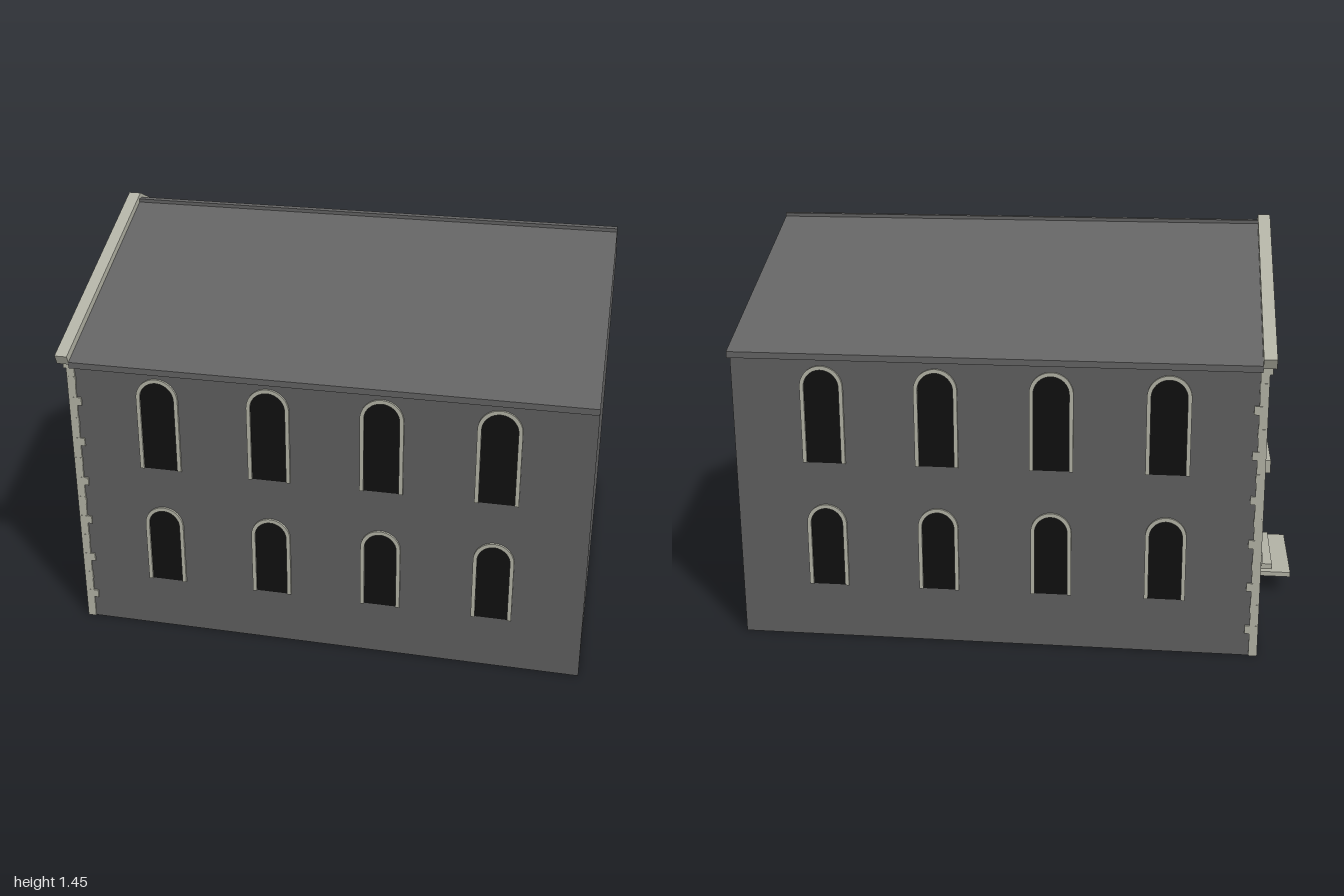
import * as THREE from 'three';

const mat = (name, color) => Object.assign(new THREE.MeshStandardMaterial({ color }), { name });

export function createModel() {
  const model = new THREE.Group();
  model.name = 'townHall';
  const brick = mat('brick', 0x5f5f5f);
  const roofing = mat('roofing', 0x636363);
  const stone = mat('stone', 0xb2b2a5);
  const glass = mat('glass', 0x101010);

  const add = (parent, name, geometry, material) => {
    const mesh = new THREE.Mesh(geometry, material);
    mesh.name = name;
    parent.add(mesh);
    return mesh;
  };

  // box given by its limits on each axis
  const box = (name, material, [x0, x1], [y0, y1], [z0, z1]) => {
    const mesh = add(model, name, new THREE.BoxGeometry(x1 - x0, y1 - y0, z1 - z0), material);
    mesh.position.set((x0 + x1) / 2, (y0 + y1) / 2, (z0 + z1) / 2);
    return mesh;
  };

  const polygon = (points, Type = THREE.Shape) => new Type(points.map(p => new THREE.Vector2(...p)));

  // cross-section in z and y, run along x from x0 to x1
  const section = (name, material, shape, x0, x1) => {
    const geometry = new THREE.ExtrudeGeometry(shape, { depth: x1 - x0, bevelEnabled: false });
    geometry.rotateY(-Math.PI / 2);
    geometry.translate(x1, 0, 0);
    return add(model, name, geometry, material);
  };

  // round-headed outline standing on y = 0
  const archShape = (w, h) => {
    const r = w / 2, s = new THREE.Shape();
    s.moveTo(-r, 0);
    s.lineTo(r, 0);
    s.lineTo(r, h - r);
    s.absarc(0, h - r, r, 0, Math.PI, false);
    s.lineTo(-r, 0);
    return s;
  };

  // arched window facing +z, with a surround open at the foot
  const archWindow = (w, h, t = 0.014) => {
    const group = new THREE.Group();
    group.name = 'archedWindow';
    const r = w / 2, ri = r - t;
    const s = new THREE.Shape();
    s.moveTo(r, 0);
    s.lineTo(r, h - r);
    s.absarc(0, h - r, r, 0, Math.PI, false);
    s.lineTo(-r, 0);
    s.lineTo(-ri, 0);
    s.lineTo(-ri, h - r);
    s.absarc(0, h - r, ri, Math.PI, 0, true);
    s.lineTo(ri, 0);
    add(group, 'windowSurround',
      new THREE.ExtrudeGeometry(s, { depth: 0.008, bevelEnabled: false, curveSegments: 12 }), stone);
    const pane = add(group, 'windowPane', new THREE.ShapeGeometry(archShape(w - t, h - t / 2), 12), glass);
    pane.position.z = 0.002;
    model.add(group);
    return group;
  };

  // main block with gabled ends
  section('walls', brick,
    polygon([[-0.75, 0], [0.75, 0], [0.75, 1.055], [0, 1.4], [-0.75, 1.055]]), -0.82, 1);

  // roof slopes, ridge and gable coping
  section('roof', roofing, polygon([
    [-0.785, 1.04], [0, 1.4], [0.785, 1.04], [0.785, 1.062], [0, 1.424], [-0.785, 1.062]]), -0.826, 1);
  box('ridgeCap', roofing, [-0.826, 1], [1.412, 1.43], [-0.014, 0.014]);
  section('gableCoping', stone, polygon([
    [-0.78, 1.052], [0, 1.41], [0.78, 1.052], [0.796, 1.087], [0, 1.45], [-0.796, 1.087]]), -0.87, -0.825);

  // stone frame of the entrance front, pierced by six bays and the pediment
  const frame = polygon([[-0.755, 0], [0.755, 0], [0.755, 1.055], [0, 1.415], [-0.755, 1.055]]);
  for (const [z0, z1] of [[-0.68, -0.31], [-0.21, 0.21], [0.31, 0.68]]) {
    for (const [y0, y1] of [[0.13, 0.56], [0.62, 0.99]]) {
      frame.holes.push(polygon([[z0, y0], [z0, y1], [z1, y1], [z1, y0]], THREE.Path));
    }
  }
  frame.holes.push(polygon([[-0.6, 1.06], [0, 1.34], [0.6, 1.06]], THREE.Path));
  section('facadeFrame', stone, frame, -0.85, -0.82);
  section('pedimentPanel', stone, polygon([[-0.61, 1.055], [0.61, 1.055], [0, 1.345]]), -0.835, -0.815);
  box('pedimentPlaque', stone, [-0.842, -0.83], [1.14, 1.25], [-0.14, 0.14]);
  box('cornice', stone, [-0.86, -0.84], [1.025, 1.05], [-0.755, 0.755]);

  // long and short corner quoins
  for (const side of [-1, 1]) {
    for (let i = 0; i < 12; i++) {
      const y = 0.1 + i * 0.08;
      const zs = [0.72 * side, 0.756 * side].sort((a, b) => a - b);
      box('quoin', stone, [-0.845, i % 2 ? -0.818 : -0.803], [y - 0.015, y + 0.015], zs);
    }
  }

  // side windows, two storeys on both long walls
  for (const x of [-0.52, -0.12, 0.28, 0.68]) {
    for (const side of [-1, 1]) {
      for (const [y, w, h] of [[0.2, 0.143, 0.305], [0.66, 0.152, 0.352]]) {
        const win = archWindow(w, h);
        win.position.set(x, y, 0.75 * side);
        win.rotation.y = side > 0 ? 0 : Math.PI;
      }
    }
  }

  // entrance-front windows: single above, paired below
  const facadeWindow = (z, y, w, h) => {
    const win = archWindow(w, h);
    win.position.set(-0.82, y, z);
    win.rotation.y = -Math.PI / 2;
  };
  for (const z of [-0.5, 0, 0.5]) facadeWindow(z, 0.65, 0.15, 0.33);
  for (const z of [-0.575, -0.425, 0.425, 0.575]) facadeWindow(z, 0.19, 0.135, 0.31);

  // doorway with posts, lintel and steps
  box('door', brick, [-0.832, -0.815], [0.105, 0.47], [-0.11, 0.11]);
  for (const side of [-1, 1]) {
    const range = (a, b) => [a * side, b * side].sort((p, q) => p - q);
    box('doorJamb', stone, [-0.845, -0.815], [0.1, 0.49], range(0.11, 0.13));
    box('doorPost', stone, [-0.885, -0.845], [0.1, 0.49], range(0.135, 0.175));
    box('postBase', stone, [-0.892, -0.845], [0.1, 0.145], range(0.13, 0.18));
  }
  box('doorLintel', stone, [-0.888, -0.82], [0.47, 0.495], [-0.18, 0.18]);
  box('doorHood', stone, [-0.905, -0.82], [0.49, 0.54], [-0.195, 0.195]);
  box('lowerStep', stone, [-1, -0.84], [0.068, 0.086], [-0.2, 0.2]);
  box('upperStep', stone, [-0.93, -0.82], [0.086, 0.106], [-0.17, 0.17]);

  return model;
}
